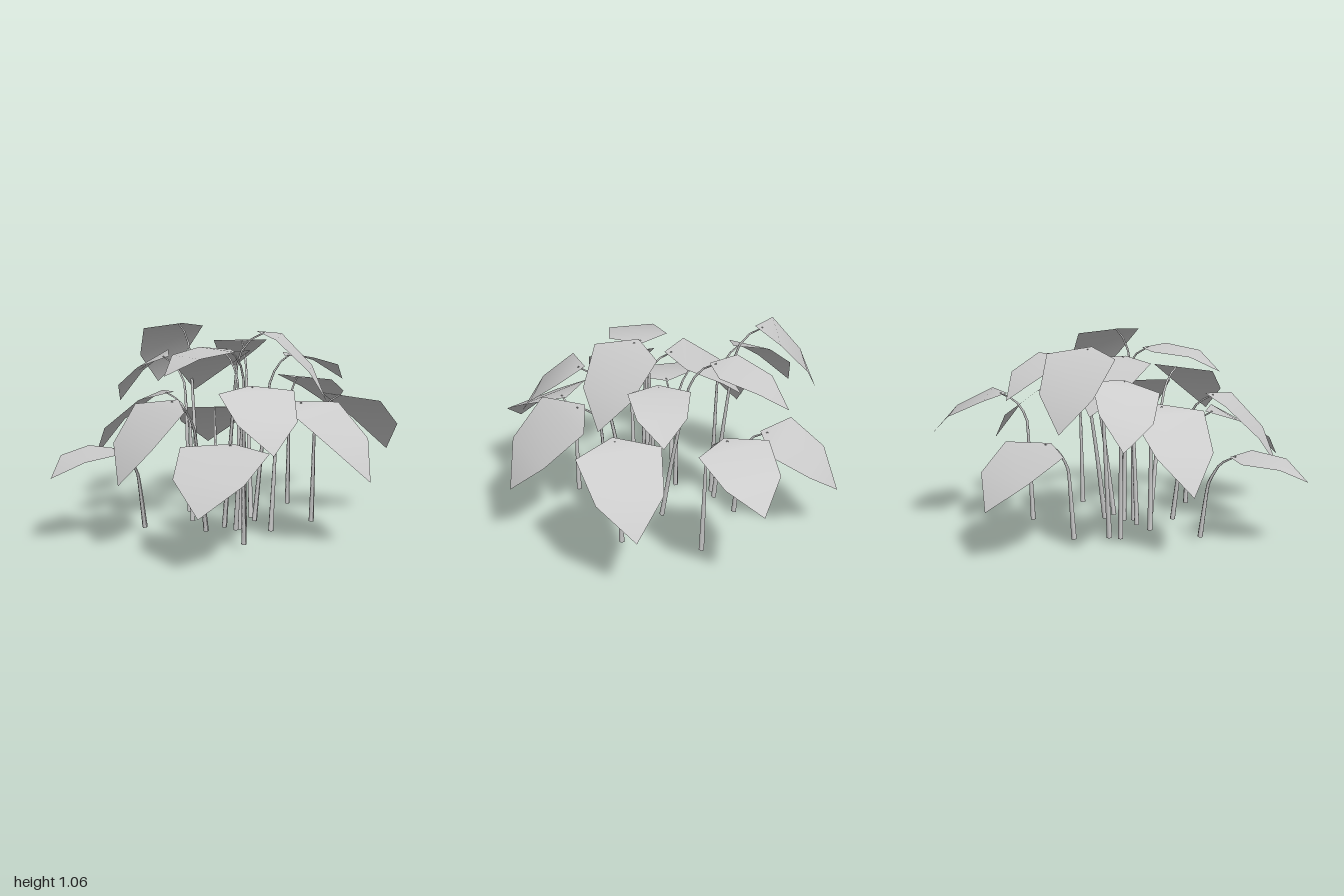
import * as THREE from 'three';

// One row per leaf: stem foot (x, z), leaf base (x, y, z), leaf tip (x, y, z), width, roll
const lowLeaves = [
  [-0.16, 0.44, -0.165, 0.47, 0.59, -0.165, 0.365, 0.99, 0.31, 0],
  [-0.37, -0.18, -0.475, 0.56, -0.26, -0.84, 0.285, -0.475, 0.45, 0],
  [0.42, 0.23, 0.46, 0.56, 0.33, 0.685, 0.285, 0.705, 0.46, 0],
];
const middleLeaves = [
  [-0.11, -0.5, -0.185, 0.74, -0.605, -0.285, 0.515, -1.0, 0.385, 0],
  [0.28, -0.34, 0.335, 0.715, -0.44, 0.3, 0.37, -0.875, 0.43, 0],
  [-0.12, 0.16, -0.195, 0.73, 0.22, -0.56, 0.355, 0.495, 0.39, 0],
  [0.1, 0.23, 0.1, 0.74, 0.4, 0.14, 0.355, 0.79, 0.38, 0],
  [0.3, -0.04, 0.415, 0.725, -0.09, 0.835, 0.355, -0.235, 0.47, 0],
  [0.17, 0.09, 0.375, 0.82, 0.16, 0.71, 0.53, 0.28, 0.39, 0],
];
const tallLeaves = [
  [0.09, -0.1, 0.08, 0.91, -0.31, 0.13, 0.76, -0.69, 0.31, 0],
  [0.02, -0.13, -0.2, 0.97, -0.24, -0.555, 0.78, -0.465, 0.3, 0],
  [0.08, -0.04, 0.09, 0.97, 0.06, 0.09, 0.86, 0.48, 0.31, 0],
  [-0.3, 0.05, -0.42, 0.89, 0.1, -0.77, 0.61, 0.2, 0.34, 0.25],
  [-0.3, -0.01, -0.49, 1.06, -0.04, -0.825, 0.69, -0.1, 0.37, 0],
  [0.1, 0.01, -0.02, 0.94, 0, -0.42, 0.69, -0.075, 0.39, 0],
  [0.02, 0.05, 0.13, 1.06, -0.075, 0.39, 0.695, -0.34, 0.375, 0],
];

// Six-cornered blade, folded downwards across two lines; returns it with the stem joint
function makeLeaf(base, tip, width, roll) {
  const axis = tip.clone().sub(base);
  const length = axis.length();
  axis.normalize();
  const steepness = -axis.y;
  const side = new THREE.Vector3(0, 1, 0).cross(axis).normalize().applyAxisAngle(axis, -roll);
  const normal = axis.clone().cross(side);
  const at = (u, v, h) => base.clone()
    .addScaledVector(axis, u * length)
    .addScaledVector(side, v * width)
    .addScaledVector(normal, h * length);

  const lift = 0.03 + 0.13 * steepness;
  const points = [
    at(0, 0, 0),
    at(0.2, -0.5, lift), at(0.2, 0.5, lift),
    at(0.65, -0.39, 0.12), at(0.65, 0.39, 0.12),
    at(1, 0, 0),
  ];
  const geometry = new THREE.BufferGeometry().setFromPoints(points);
  geometry.setIndex([0, 1, 2, 1, 3, 4, 1, 4, 2, 3, 5, 4]);
  geometry.computeVertexNormals();
  return { geometry, joint: at(0.07, 0, lift * 0.35 + 0.005) };
}

// Thin stalk: a straight lean, then a short bend of fixed size, tapering to the leaf
function makeStem(foot, joint) {
  const reach = Math.hypot(joint.x - foot.x, joint.z - foot.z);
  const lean = Math.max(0.08, 1 - 0.14 / reach);
  const bend = (across, y) => new THREE.Vector3(
    THREE.MathUtils.lerp(foot.x, joint.x, across), y,
    THREE.MathUtils.lerp(foot.z, joint.z, across));
  const knee = joint.y - 0.15;
  const path = new THREE.CatmullRomCurve3([
    foot,
    bend(lean * 0.45, (foot.y + knee) / 2),
    bend(lean, knee),
    bend(lean + (1 - lean) * 0.42, joint.y - 0.045),
    joint,
  ], false, 'catmullrom', 0.25);
  const rings = 14, sides = 5;
  const geometry = new THREE.TubeGeometry(path, rings, 0.0145, sides, false);
  const position = geometry.attributes.position;
  const v = new THREE.Vector3();
  for (let i = 0; i < position.count; i++) {
    const t = Math.floor(i / (sides + 1)) / rings;
    const centre = path.getPointAt(t);
    v.fromBufferAttribute(position, i).sub(centre).multiplyScalar(1 - 0.7 * t).add(centre);
    position.setXYZ(i, v.x, v.y, v.z);
  }
  geometry.computeVertexNormals();
  return geometry;
}

export function createModel() {
  const model = new THREE.Group();
  model.name = 'leafyPlant';
  const material = new THREE.MeshStandardMaterial({ color: 0xcccccc, side: THREE.DoubleSide });
  const tiers = { lowLeaves, middleLeaves, tallLeaves };

  for (const [name, rows] of Object.entries(tiers)) {
    const tier = new THREE.Group();
    tier.name = name;
    for (const [fx, fz, bx, by, bz, tx, ty, tz, width, roll] of rows) {
      const { geometry, joint } = makeLeaf(
        new THREE.Vector3(bx, by, bz), new THREE.Vector3(tx, ty, tz), width, roll);
      const leaf = new THREE.Mesh(geometry, material);
      leaf.name = 'leaf';
      // Stalks near the middle reach slightly lower
      const footY = Math.hypot(fx, fz) < 0.12 ? 0.005 : 0.03;
      const stem = new THREE.Mesh(makeStem(new THREE.Vector3(fx, footY, fz), joint), material);
      stem.name = 'stem';
      tier.add(leaf, stem);
    }
    model.add(tier);
  }
  return model;
}
